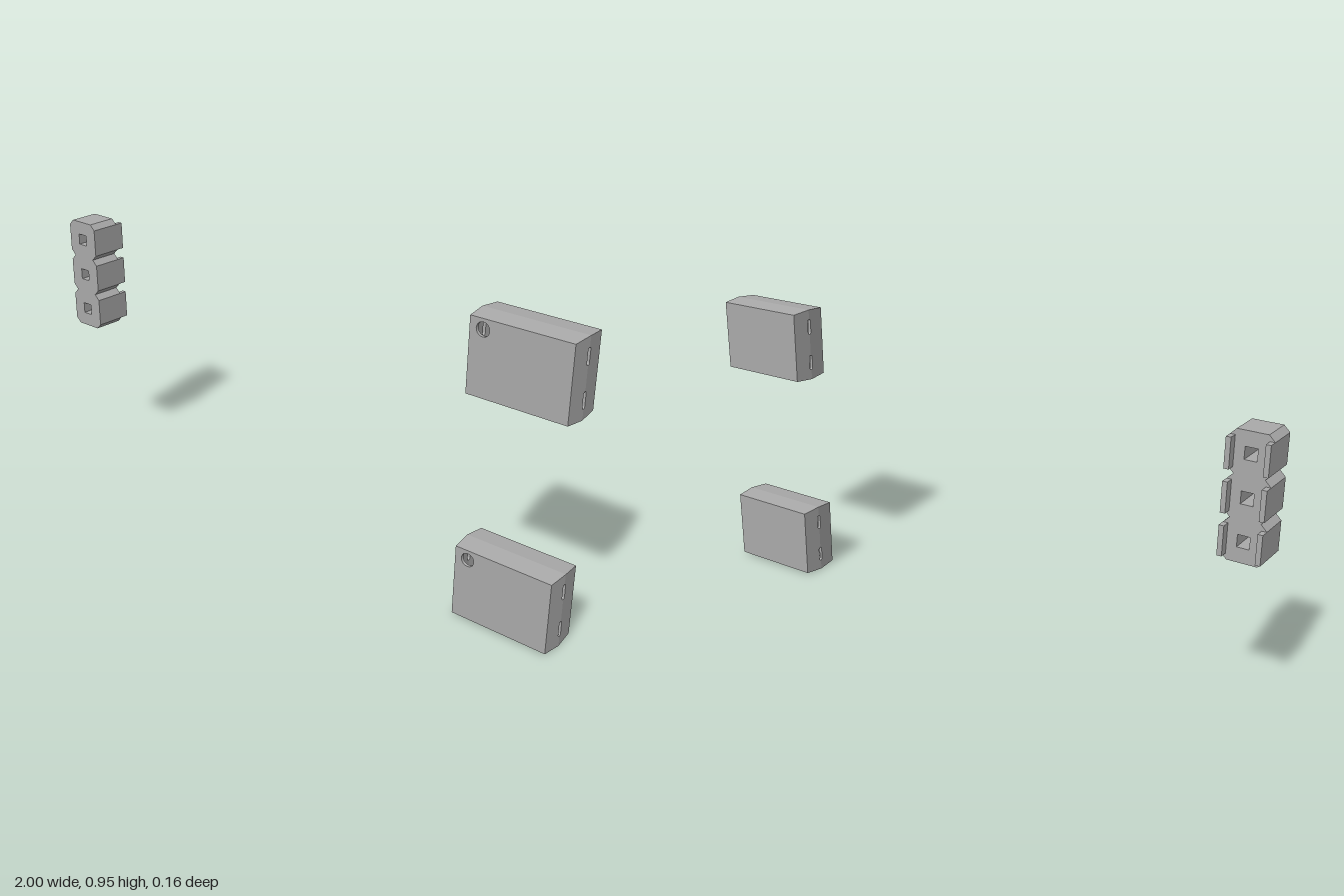
import * as THREE from 'three';

const grey = new THREE.MeshStandardMaterial({ color: 0xaaaaaa });
grey.name = 'grey plastic';

// Case half-sizes at the ridge, bow of the sides, wall thickness
const HX = 0.1625, HY = 0.1195, HZ = 0.0663, BOW = 0.0055, WALL = 0.01;

function mesh(name, geometry) {
  const m = new THREE.Mesh(geometry, grey);
  m.name = name;
  return m;
}

// One side wall, folded along its centre line; slots are cut across the fold
function foldedWall(name, halfLength, slots = []) {
  const wall = new THREE.Group();
  wall.name = name;
  const r = 0.0065, half = 0.025;
  const s = new THREE.Shape();
  s.moveTo(0, -halfLength);
  s.lineTo(HZ, -halfLength + BOW);
  s.lineTo(HZ, halfLength - BOW);
  s.lineTo(0, halfLength);
  for (const c of slots) {
    s.lineTo(0, c + half);
    s.absarc(0, c + half - r, r, Math.PI / 2, 0, true);
    s.absarc(0, c - half + r, r, 0, -Math.PI / 2, true);
  }
  s.closePath();
  const g = new THREE.ExtrudeGeometry(s, { depth: WALL, bevelEnabled: false, curveSegments: 6 });
  g.translate(0, 0, -WALL);
  const p = g.attributes.position;
  for (let i = 0; i < p.count; i++) p.setZ(i, p.getZ(i) - BOW * p.getX(i) / HZ);
  g.computeVertexNormals();
  for (const turn of [0, Math.PI]) {
    const m = mesh(name + 'Half', g);
    m.rotation.z = turn;
    wall.add(m);
  }
  return wall;
}

// Flat front or back plate, with an optional round hole
function plate(name, hole) {
  const x = HX - BOW, y = HY - BOW;
  const s = new THREE.Shape([[-x, -y], [x, -y], [x, y], [-x, y]].map(a => new THREE.Vector2(...a)));
  if (hole) s.holes.push(new THREE.Path().absarc(hole[0], hole[1], 0.021, 0, Math.PI * 2, true));
  const g = new THREE.ExtrudeGeometry(s, { depth: WALL, bevelEnabled: false, curveSegments: 16 });
  return mesh(name, g);
}

// Hollow case with slotted ends
function hollowCase(name) {
  const box = new THREE.Group();
  box.name = name;
  const front = plate('frontPlate', [-0.115, 0.083]);
  front.position.z = HZ - WALL;
  const back = plate('backPlate');
  back.position.z = -HZ;
  box.add(front, back);
  for (const side of [1, -1]) {
    const end = foldedWall(side > 0 ? 'leftEnd' : 'rightEnd', HY, [0.0615, -0.0615]);
    end.rotation.y = side * Math.PI / 2;
    end.position.x = side * HX;
    const lid = foldedWall(side > 0 ? 'topWall' : 'bottomWall', HX);
    lid.rotation.set(-side * Math.PI / 2, 0, Math.PI / 2);
    lid.position.y = side * HY;
    box.add(end, lid);
  }
  return box;
}

// Three joined chamfered cells with square through-holes and rear side tabs
function connector() {
  const group = new THREE.Group();
  group.name = 'connector';
  const pitch = 0.127, hw = pitch / 2, c = 0.018, hole = 0.0185, cells = 3;
  const right = [];
  for (let i = 0; i < cells; i++) {
    const y = i * pitch;
    right.push([hw - c, y], [hw, y + c], [hw, y + pitch - c]);
  }
  right.push([hw - c, cells * pitch]);
  const left = right.map(([x, y]) => [-x, y]).reverse();
  const s = new THREE.Shape([...right, ...left].map(a => new THREE.Vector2(...a)));
  for (let i = 0; i < cells; i++) {
    const y = (i + 0.5) * pitch;
    s.holes.push(new THREE.Path([[-1, -1], [-1, 1], [1, 1], [1, -1]]
      .map(([a, b]) => new THREE.Vector2(a * hole, y + b * hole))));
    for (const side of [1, -1]) {
      const tab = mesh('rearTab', new THREE.BoxGeometry(0.015, pitch - 2 * c, 0.0265));
      tab.position.set(side * (hw - 0.0075), y, -0.06625);
      group.add(tab);
    }
  }
  const body = mesh('connectorBody', new THREE.ExtrudeGeometry(s, { depth: 0.099, bevelEnabled: false }));
  body.position.z = -0.053;
  group.add(body);
  return group;
}

export function createModel() {
  const model = new THREE.Group();
  model.name = 'caseAndConnectorSet';
  const lower = hollowCase('lowerCase');
  lower.position.set(0.8375, 0.122, 0.0132);
  const upper = hollowCase('upperCase');
  upper.position.set(0.8375, 0.832, 0.0132);
  const plug = connector();
  plug.position.set(-0.9365, 0.49, 0);
  model.add(lower, upper, plug);
  return model;
}
